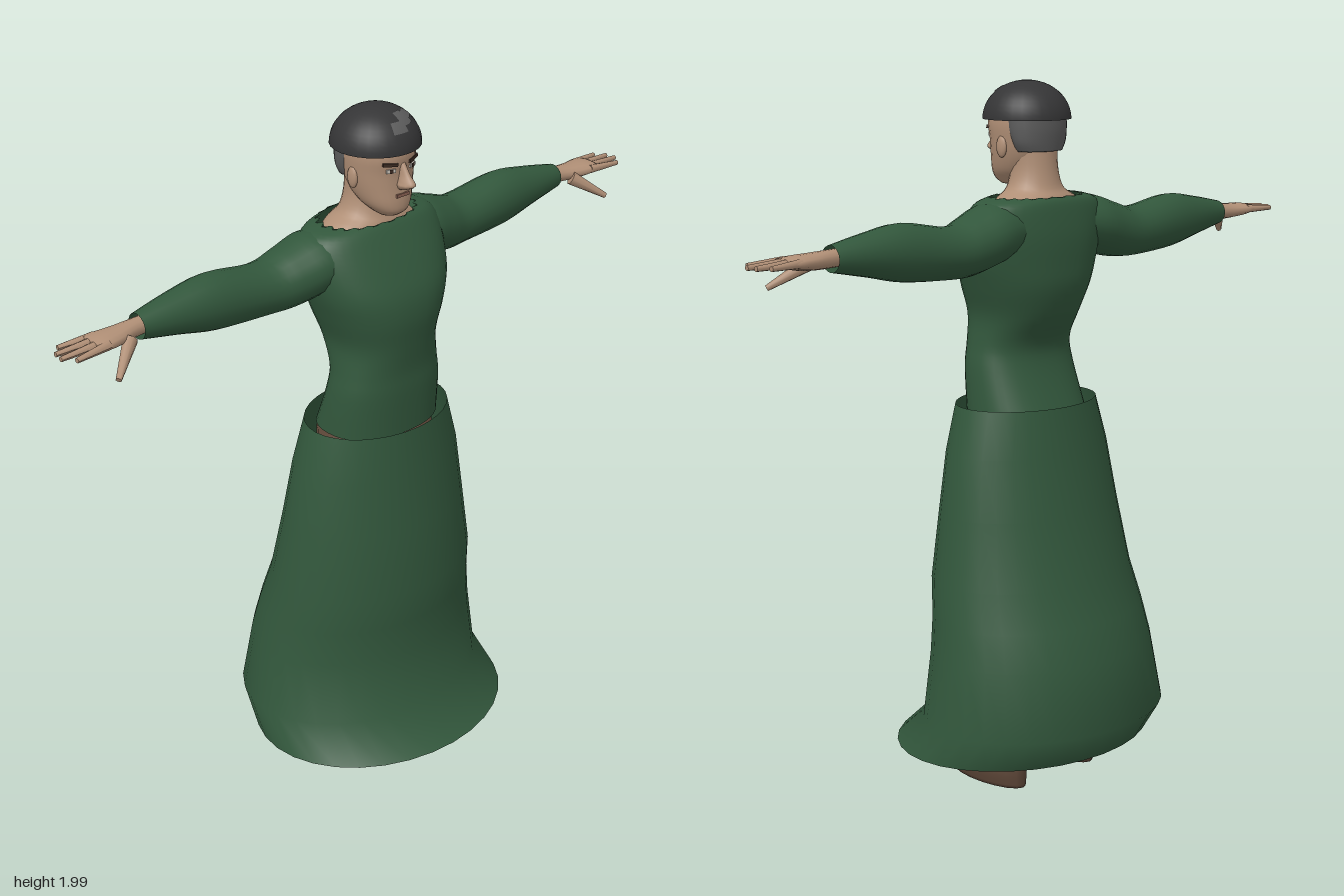
import * as THREE from 'three';

const mat = (name, color, side = THREE.FrontSide) => {
  const m = new THREE.MeshStandardMaterial({ color, side });
  m.name = name;
  return m;
};

// Catmull-Rom interpolation of four values
function blend(a, b, c, d, t) {
  const cubic = 3 * (b - c) + d - a;
  const square = 2 * a - 5 * b + 4 * c - d;
  return b + 0.5 * t * (c - a + t * (square + t * cubic));
}

// Smooth the section rows [height, halfWidth, zBack, zFront, centreX]
function smooth(rows, steps) {
  const out = [];
  for (let i = 0; i < rows.length - 1; i++) {
    const a = rows[Math.max(i - 1, 0)], b = rows[i], c = rows[i + 1];
    const d = rows[Math.min(i + 2, rows.length - 1)];
    for (let s = 0; s < steps; s++) {
      out.push(b.map((v, k) => blend(a[k], v, c[k], d[k], s / steps)));
    }
  }
  out.push(rows[rows.length - 1]);
  return out;
}

// Skin a stack of oval cross-sections along y
function loft(rows, { n = 24, steps = 4, power = 1, caps = true } = {}) {
  const rings = smooth(rows.map(r => [r[0], r[1], r[2], r[3], r[4] || 0]), steps);
  const pos = [], idx = [];
  const bend = v => Math.sign(v) * Math.abs(v) ** power;
  for (const [y, w, z0, z1, cx] of rings) {
    for (let j = 0; j < n; j++) {
      const t = j / n * Math.PI * 2;
      pos.push(cx + w * bend(Math.sin(t)), y, (z0 + z1) / 2 + (z1 - z0) / 2 * bend(Math.cos(t)));
    }
  }
  const last = (rings.length - 1) * n;
  for (let i = 0; i < last; i += n) {
    for (let j = 0; j < n; j++) {
      const a = i + j, b = i + (j + 1) % n;
      idx.push(a, b, a + n, b, b + n, a + n);
    }
  }
  if (caps) {
    const c = last + n;
    for (const r of [rings[0], rings[rings.length - 1]]) pos.push(r[4], r[0], (r[2] + r[3]) / 2);
    for (let j = 0; j < n; j++) {
      const k = (j + 1) % n;
      idx.push(k, j, c, last + j, last + k, c + 1);
    }
  }
  const g = new THREE.BufferGeometry();
  g.setAttribute('position', new THREE.Float32BufferAttribute(pos, 3));
  g.setIndex(idx);
  g.computeVertexNormals();
  return g;
}

// Loft running along +x; rows are [x, yBottom, yTop, zBack, zFront]
const sideLoft = (rows, opts) => loft(
  rows.map(([x, y0, y1, z0, z1]) => [x, (y1 - y0) / 2, z0, z1, -(y0 + y1) / 2]), opts).rotateZ(-Math.PI / 2);

// Tapered rod between two points
function rod(a, b, r0, r1) {
  const p = new THREE.Vector3(...a), q = new THREE.Vector3(...b), d = q.clone().sub(p);
  const g = new THREE.CylinderGeometry(r1, r0, d.length(), 8);
  g.applyQuaternion(new THREE.Quaternion().setFromUnitVectors(new THREE.Vector3(0, 1, 0), d.normalize()));
  p.add(q).multiplyScalar(0.5);
  return g.translate(p.x, p.y, p.z);
}

function mirrored(geo) {
  const g = geo.clone().scale(-1, 1, 1), ix = g.index.array;
  for (let i = 0; i < ix.length; i += 3) [ix[i], ix[i + 1]] = [ix[i + 1], ix[i]];
  g.computeVertexNormals();
  return g;
}

export function createModel() {
  const model = new THREE.Group();
  model.name = 'robedFigure';
  const cloth = mat('green cloth', 0x32573c, THREE.DoubleSide);
  const skin = mat('skin', 0xb08f76);
  const boot = mat('brown leather', 0x594335);
  const capDark = mat('charcoal', 0x353536);
  const grey = mat('grey hair', 0x5c5c5c);
  const brow = mat('dark brown', 0x3a2a22);
  const eyeWhite = mat('eye white', 0xc9c2b8);
  const lip = mat('lip', 0x8a6253);
  const add = (name, geo, m) => {
    const mesh = new THREE.Mesh(geo, m);
    mesh.name = name;
    model.add(mesh);
  };
  const pair = (name, geo, m) => {
    add(name + 'Left', geo, m);
    add(name + 'Right', mirrored(geo), m);
  };

  // Long skirt with a kicked-out front hem and trailing back
  add('skirt', loft([
    [0.115, 0.4, -0.295, 0.355], [0.21, 0.385, -0.358, 0.245], [0.4, 0.355, -0.322, 0.227],
    [0.5, 0.34, -0.29, 0.224], [0.61, 0.322, -0.25, 0.236], [0.8, 0.292, -0.205, 0.215],
    [0.97, 0.265, -0.172, 0.197], [1.1, 0.225, -0.152, 0.185],
  ], { n: 32, steps: 1, caps: false }), cloth);

  // Fitted bodice with a ragged neckline
  const bodice = loft([
    [1.08, 0.18, -0.12, 0.155], [1.2, 0.173, -0.072, 0.16], [1.27, 0.162, -0.068, 0.16],
    [1.35, 0.158, -0.115, 0.17], [1.43, 0.185, -0.143, 0.18], [1.5, 0.21, -0.147, 0.172],
    [1.57, 0.225, -0.145, 0.14], [1.63, 0.225, -0.135, 0.105], [1.665, 0.2, -0.125, 0.082],
    [1.68, 0.14, -0.112, 0.068],
  ], { n: 40, power: 0.88, caps: false });
  const bp = bodice.attributes.position;
  for (let i = bp.count - 40; i < bp.count; i += 2) {
    bp.setXYZ(i, bp.getX(i) * 1.13, bp.getY(i) - 0.003, bp.getZ(i) * 1.08);
  }
  bodice.computeVertexNormals();
  add('bodice', bodice, cloth);

  // Sleeves, open at the wrist
  pair('sleeve', sideLoft([
    [0.13, 1.52, 1.665, -0.12, 0.07], [0.2, 1.5, 1.668, -0.133, 0.07], [0.28, 1.483, 1.642, -0.13, 0.05],
    [0.36, 1.48, 1.622, -0.125, 0.03], [0.52, 1.49, 1.645, -0.115, 0.025],
    [0.64, 1.515, 1.63, -0.1, 0.01], [0.755, 1.538, 1.608, -0.078, -0.008],
  ], { n: 20, caps: false }), cloth);

  // Hands with spread fingers and lowered thumb
  pair('palm', sideLoft([
    [0.7, 1.553, 1.6, -0.065, -0.02], [0.77, 1.55, 1.597, -0.068, -0.015], [0.82, 1.55, 1.594, -0.075, 0],
    [0.87, 1.555, 1.592, -0.083, 0.012], [0.9, 1.563, 1.587, -0.08, 0.008],
  ], { n: 14, steps: 3 }), skin);
  [[-0.068, -0.078, 0.97], [-0.046, -0.05, 0.995], [-0.022, -0.02, 1], [0, 0.012, 0.975]].forEach(([z0, z1, x], i) => {
    pair('finger' + (i + 1), rod([0.87, 1.575, z0], [x, 1.572, z1], 0.0125, 0.007), skin);
  });
  pair('thumb', rod([0.8, 1.563, -0.01], [0.885, 1.503, 0.052], 0.02, 0.008), skin);

  // Legs and booted feet
  pair('leg', loft([
    [0, 0.054, -0.11, 0.165, 0.14], [0.035, 0.06, -0.112, 0.175, 0.14], [0.06, 0.055, -0.112, 0.15, 0.14],
    [0.09, 0.047, -0.11, 0.045, 0.14], [0.125, 0.04, -0.105, -0.02, 0.14], [0.25, 0.042, -0.105, -0.015, 0.138],
    [0.42, 0.058, -0.11, 0.025, 0.13], [0.55, 0.058, -0.08, 0.05, 0.12], [0.85, 0.085, -0.09, 0.1, 0.1],
    [1.06, 0.09, -0.1, 0.12, 0.085],
  ], { n: 18, steps: 3 }), boot);

  // Neck and head
  add('neck', loft([
    [1.65, 0.16, -0.11, 0.07], [1.675, 0.125, -0.105, 0.064], [1.7, 0.085, -0.09, 0.055],
    [1.75, 0.068, -0.08, 0.048], [1.82, 0.068, -0.075, 0.05],
  ]), skin);
  add('head', loft([
    [1.705, 0.03, 0.03, 0.098], [1.72, 0.048, 0.005, 0.116], [1.745, 0.068, -0.03, 0.12],
    [1.785, 0.082, -0.062, 0.118], [1.83, 0.09, -0.078, 0.118], [1.88, 0.093, -0.085, 0.124],
    [1.93, 0.08, -0.07, 0.105], [1.955, 0.05, -0.04, 0.07],
  ], { power: 0.9 }), skin);
  add('nose', loft([
    [1.786, 0.013, 0.1, 0.135], [1.798, 0.02, 0.1, 0.16], [1.808, 0.017, 0.1, 0.163],
    [1.828, 0.011, 0.1, 0.145], [1.858, 0.009, 0.1, 0.124],
  ], { n: 12 }), skin);
  pair('ear', new THREE.SphereGeometry(1, 12, 8).scale(0.01, 0.03, 0.018).translate(0.089, 1.812, 0.022), skin);

  // Facial details
  const plate = (w, h, x, y, z, yaw, roll) =>
    new THREE.BoxGeometry(w, h, 0.008).rotateZ(roll).rotateY(yaw).translate(x, y, z);
  pair('eye', plate(0.026, 0.01, 0.037, 1.841, 0.113, 0.33, 0), eyeWhite);
  pair('iris', plate(0.01, 0.01, 0.037, 1.841, 0.1145, 0.33, 0), brow);
  pair('eyebrow', plate(0.042, 0.009, 0.04, 1.859, 0.114, 0.35, 0.12), brow);
  add('mouth', plate(0.044, 0.009, 0, 1.768, 0.118, 0, 0), lip);

  // Cropped hair under a domed cap with worn grey streaks
  add('hair', loft([
    [1.8, 0.076, -0.084, 0.015], [1.825, 0.089, -0.088, 0.02], [1.86, 0.095, -0.092, 0.035],
    [1.9, 0.095, -0.092, 0.04],
  ]), grey);
  const dome = (k, p0, p1, t0, t1) => new THREE.SphereGeometry(1, 28, 12, p0, p1 - p0, t0, t1 - t0)
    .scale(0.123 * k, 0.105 * k, 0.123 * k).translate(0, 1.885, 0.013);
  add('cap', dome(1, 0, Math.PI * 2, 0, Math.PI / 2), capDark);
  add('capUnderside', new THREE.CircleGeometry(0.123, 28).rotateX(Math.PI / 2).translate(0, 1.885, 0.013), capDark);
  [[1.3, 1.75, 0.75, 1.05], [1.65, 2.15, 0.5, 0.9], [2.1, 2.6, 0.55, 0.8]].forEach(([a, b, c, d], i) => {
    add('capStreak' + (i + 1), dome(1.012, a, b, c, d), grey);
  });
  return model;
}
